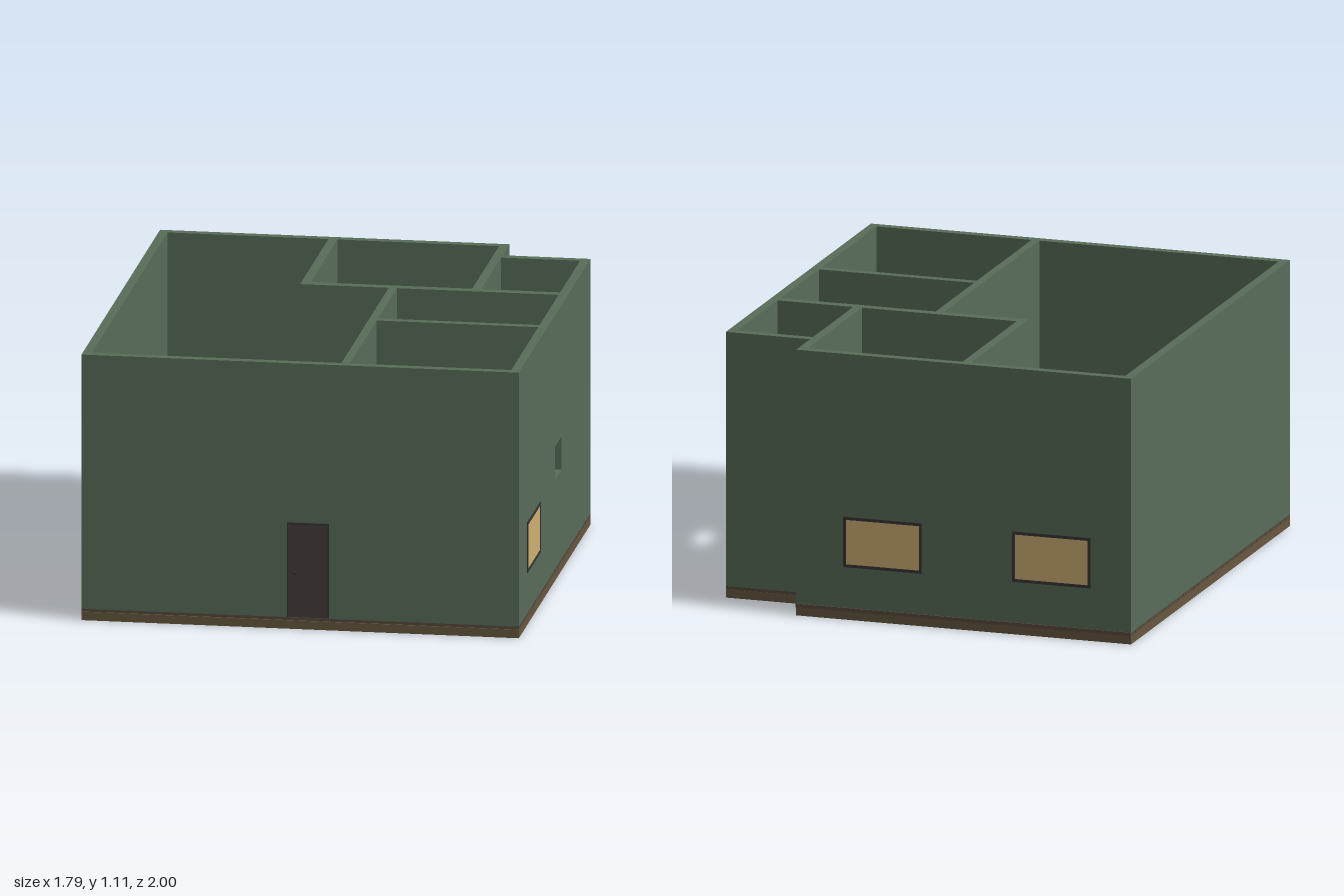
import * as THREE from 'three';

const mat = (color) => new THREE.MeshStandardMaterial({ color });

export function createModel() {
  const house = new THREE.Group();
  house.name = 'house';
  const green = mat(0x596d5a), wood = mat(0x594c3e), slabMat = mat(0x675840);
  const dark = mat(0x463c3b), frameMat = mat(0x383434), tan = mat(0xd0b174);

  // Box given by its minimum and maximum corners
  function box(parent, name, m, x0, x1, y0, y1, z0, z1) {
    const mesh = new THREE.Mesh(new THREE.BoxGeometry(x1 - x0, y1 - y0, z1 - z0), m);
    mesh.position.set((x0 + x1) / 2, (y0 + y1) / 2, (z0 + z1) / 2);
    mesh.name = name;
    parent.add(mesh);
    return mesh;
  }

  const X = 0.895, FRONT = 0.995, BACK = -0.995, T = 0.037;
  const NX = 0.535, NZ = -0.82;           // notched back corner
  const FLOOR = 0.05, TOP = 1.11;

  // Foundation slab with the notched corner
  const plan = new THREE.Shape([
    [-X, FRONT], [X, FRONT], [X, NZ], [NX, NZ], [NX, BACK], [-X, BACK],
  ].map(([x, z]) => new THREE.Vector2(x, -z)));
  const slab = new THREE.Mesh(
    new THREE.ExtrudeGeometry(plan, { depth: 0.035, bevelEnabled: false }).rotateX(-Math.PI / 2), slabMat);
  slab.name = 'foundation';
  house.add(slab);

  // Floor planks running across the house
  const planks = new THREE.Group();
  planks.name = 'floorPlanks';
  house.add(planks);
  const count = 33, pitch = (FRONT + 1) / count;
  for (let i = 0; i < count; i++) {
    const z = -1 + i * pitch;
    box(planks, 'plank', wood, -X, i < 3 ? NX : X, 0.035, FLOOR, z, z + pitch - 0.005);
  }

  // Walls: x0, x1, z0, z1
  const walls = new THREE.Group();
  walls.name = 'walls';
  house.add(walls);
  const wall = (name, x0, x1, z0, z1) => box(walls, name, green, x0, x1, FLOOR - 0.002, TOP, z0, z1);
  wall('frontWall', -X, X - T, FRONT - T, FRONT);
  wall('rightWall', -X, -X + T, BACK + T, FRONT - T);
  wall('backWall', -X, NX, BACK, BACK + T);
  wall('notchSideWall', NX - T, NX, BACK + T, -0.28);
  wall('notchBackWall', NX, X - T, NZ, NZ + T);
  wall('bedroomSideWall', -0.2, -0.2 + T, BACK + T, -0.28);
  wall('crossWall', -0.2, X - T, -0.28, -0.24);
  wall('hallWall', 0.163, 0.197, -0.24, FRONT - T);
  wall('roomDivider', 0.197, X - T, 0.24, 0.275);

  // Left outer wall with a small open window hole
  const rect = (Type, z0, z1, y0, y1) => new Type([[z0, y0], [z1, y0], [z1, y1], [z0, y1]]
    .map((p) => new THREE.Vector2(...p)));
  const side = rect(THREE.Shape, NZ, FRONT, FLOOR - 0.002, TOP);
  side.holes.push(rect(THREE.Path, -0.09, 0.08, 0.42, 0.56));
  const leftWall = new THREE.Mesh(
    new THREE.ExtrudeGeometry(side, { depth: T, bevelEnabled: false })
      .rotateY(-Math.PI / 2).translate(X, 0, 0), green);
  leftWall.name = 'leftWall';
  walls.add(leftWall);

  // Frame bars round a filled panel, built facing +z through the wall thickness
  function framed(name, panelMat, w, h, bar, sill) {
    const g = new THREE.Group();
    g.name = name;
    const d = T / 2 + 0.004, p = T / 2 + 0.002;
    box(g, 'panel', panelMat, -w / 2 + bar, w / 2 - bar, sill ? bar : 0, h - bar, -p, p);
    for (const s of [-1, 1]) {
      const x = s * (w / 2 - bar / 2);
      box(g, 'frameSide', frameMat, x - bar / 2, x + bar / 2, 0, h, -d, d);
    }
    box(g, 'frameTop', frameMat, -w / 2 + bar, w / 2 - bar, h - bar, h, -d, d);
    if (sill) box(g, 'frameSill', frameMat, -w / 2 + bar, w / 2 - bar, 0, bar, -d, d);
    house.add(g);
    return g;
  }

  // Windows: centre x, centre z, turn
  const windows = [
    [X - T / 2, 0.625, Math.PI / 2],
    [-0.555, BACK + T / 2, Math.PI],
    [0.165, BACK + T / 2, Math.PI],
  ];
  for (const [x, z, turn] of windows) {
    const g = framed('window', tan, 0.335, 0.21, 0.012, true);
    g.position.set(x, 0.22, z);
    g.rotation.y = turn;
  }

  // Doors with a small knob on each face
  const doors = [
    ['frontDoor', 0.033, FRONT - T / 2, 0],
    ['bedroomDoor', -0.01, -0.26, 0],
    ['hallDoor', 0.18, -0.095, Math.PI / 2],
    ['roomDoor', 0.18, 0.425, Math.PI / 2],
    ['closetDoor', NX - T / 2, -0.42, Math.PI / 2],
  ];
  for (const [name, x, z, turn] of doors) {
    const g = framed(name, dark, 0.172, 0.395, 0.007, false);
    for (const s of [-1, 1]) {
      const knob = new THREE.Mesh(new THREE.SphereGeometry(0.006, 10, 8), frameMat);
      knob.position.set(-0.053, 0.185, s * (T / 2 + 0.003));
      knob.name = 'doorKnob';
      g.add(knob);
    }
    g.position.set(x, FLOOR, z);
    g.rotation.y = turn;
  }
  return house;
}
